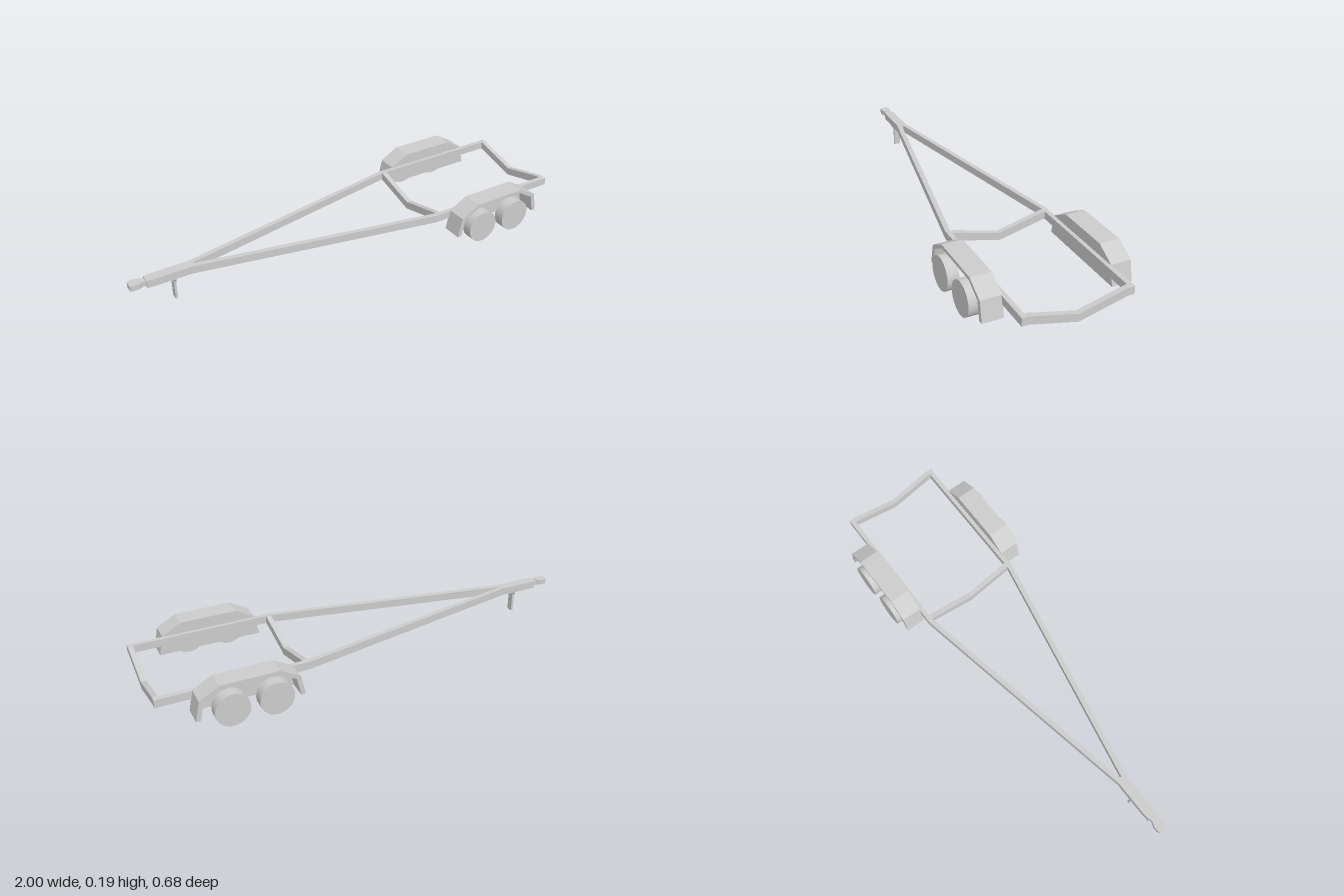
import * as THREE from 'three';

const material = new THREE.MeshStandardMaterial({ color: 0xcccccc, flatShading: true });
const smooth = new THREE.MeshStandardMaterial({ color: 0xcccccc });

const shapeOf = (pts) => new THREE.Shape(pts.map(([a, b]) => new THREE.Vector2(a, b)));
const extrude = (pts, depth) =>
  new THREE.ExtrudeGeometry(shapeOf(pts), { depth, bevelEnabled: false });

// outline in (x, z), raised from y0 to y1
const plan = (pts, y0, y1) =>
  extrude(pts.map(([x, z]) => [x, -z]), y1 - y0).rotateX(-Math.PI / 2).translate(0, y0, 0);

// outline in (z, y), swept from x0 to x1
const section = (pts, x0, x1) =>
  extrude(pts.map(([z, y]) => [-z, y]), x1 - x0).rotateY(Math.PI / 2).translate(x0, 0, 0);

// outline in (x, y), swept from z0 to z1
const side = (pts, z0, z1) => extrude(pts, z1 - z0).translate(0, 0, z0);

// half outline followed by its mirror image across the x axis of the plan
const mirrorPlan = (half) => [...half, ...half.slice().reverse().map(([x, z]) => [x, -z])];

export function createModel() {
  const root = new THREE.Group();
  root.name = 'boatTrailer';
  const add = (name, geometry, parent = root, mat = material) => {
    const mesh = new THREE.Mesh(geometry, mat);
    mesh.name = name;
    parent.add(mesh);
    return mesh;
  };

  const bottom = 0.102, top = 0.137;

  // tongue and hitch coupler
  add('tongue', plan(mirrorPlan([[-0.93, 0.02], [-0.9, 0.023], [-0.74, 0.023], [-0.72, 0.012]]), bottom, top));
  add('couplerNeck', plan(mirrorPlan([[-0.965, 0.014], [-0.93, 0.014]]), 0.11, 0.132));
  add('couplerHead', plan(mirrorPlan([
    [-1, 0.015], [-0.99, 0.022], [-0.965, 0.022], [-0.945, 0.014],
  ]), 0.11, 0.135));

  // jack leg under the tongue
  add('jackLeg', section([
    [-0.015, 0], [0.015, 0], [0.015, 0.085], [0.025, 0.102], [-0.025, 0.102], [-0.015, 0.085],
  ], -0.818, -0.808));
  add('jackBracket', side([[-0.818, 0.08], [-0.808, 0.08], [-0.8, 0.102], [-0.826, 0.102]], -0.015, 0.015));

  // V-shaped cross members
  const vee = [
    [-0.215, top], [-0.205, top], [0, 0.085], [0.205, top], [0.215, top],
    [0.215, bottom], [0.207, bottom], [0, 0.05], [-0.207, bottom], [-0.215, bottom],
  ];
  add('frontCrossMember', section(vee, 0.355, 0.378));
  add('rearCrossMember', section(vee, 0.977, 1));

  // fender outlines
  const outer = [[0.408, 0.05], [0.427, 0.139], [0.512, 0.187], [0.762, 0.187], [0.847, 0.139], [0.866, 0.05]];
  const inner = [[0.428, 0.05], [0.445, 0.129], [0.517, 0.172], [0.757, 0.172], [0.829, 0.129], [0.846, 0.05]];

  for (const s of [1, -1]) {
    const group = new THREE.Group();
    group.name = s > 0 ? 'frontSide' : 'backSide';
    root.add(group);
    const span = (a, b) => (s > 0 ? [a, b] : [-b, -a]);

    // rail running back from the tongue, then straight along the bed
    add('sideRail', plan([
      [-0.74, 0.023], [0.35, 0.235], [1, 0.235], [1, 0.214], [0.355, 0.214], [-0.74, 0],
    ].map(([x, z]) => [x, s * z]), bottom, top), group);

    // fender: arched shell closed by a plate on the rail side
    add('fenderArch', side([...outer, ...inner.slice().reverse()], ...span(0.232, 0.322)), group);
    add('fenderPlate', side(inner, ...span(0.232, 0.242)), group);

    // twin wheels
    for (const x of [0.535, 0.72]) {
      const wheel = new THREE.CylinderGeometry(0.0735, 0.0735, 0.05, 40).rotateX(Math.PI / 2);
      add('wheel', wheel.translate(x, 0.0735, s * 0.315), group, smooth);
    }
  }
  return root;
}
